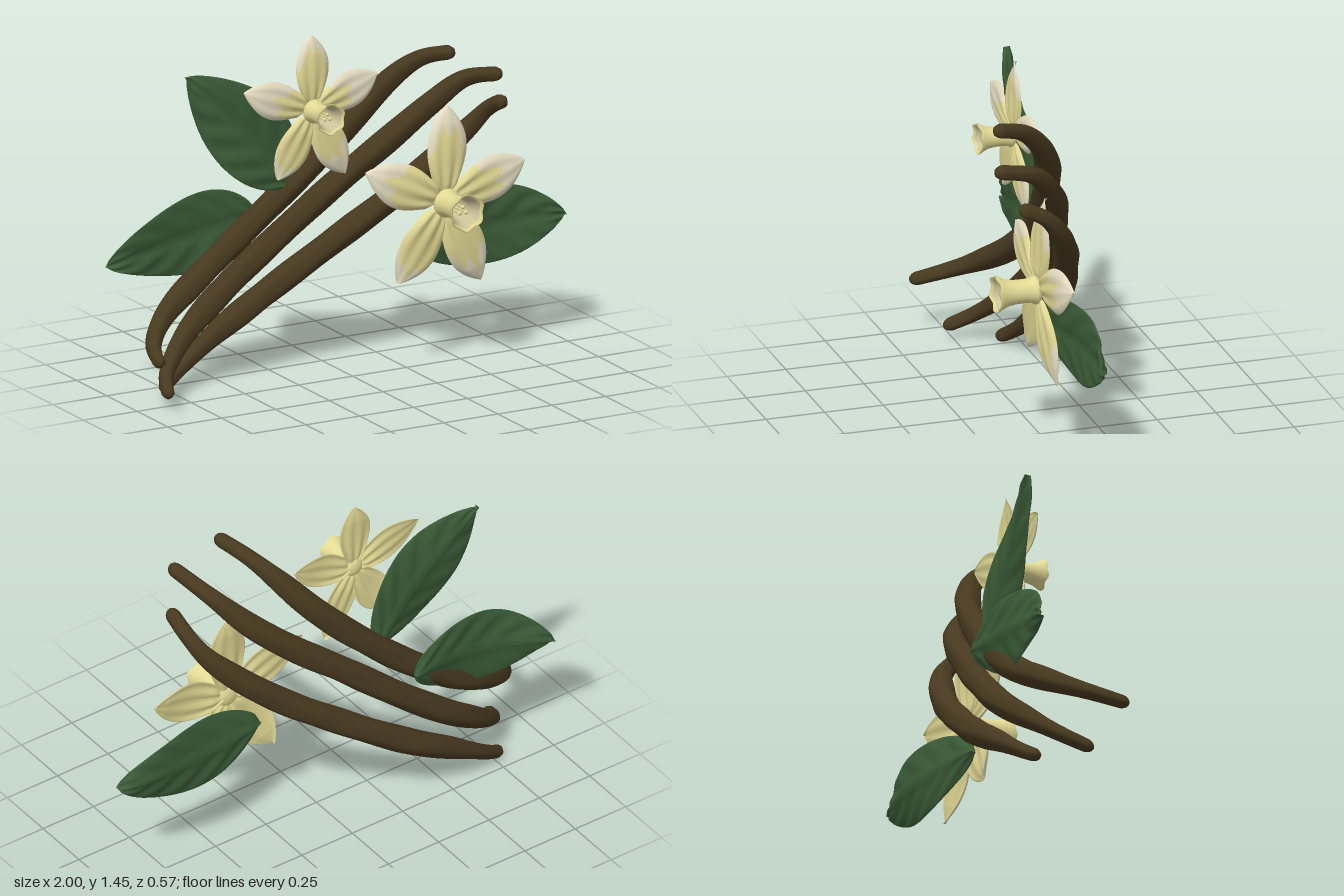
import * as THREE from 'three';

const mat = (name, color) => {
  const m = new THREE.MeshStandardMaterial({ color });
  m.name = name;
  return m;
};
const V = (x, y, z) => new THREE.Vector3(x, y, z);

// Smooth closed skin over n+1 rings of m points; pick(u, angle) chooses the material slot of a face
function loft(n, m, point, pick = () => 0) {
  const pos = [], slots = [[], []];
  for (let i = 0; i <= n; i++) {
    for (let j = 0; j < m; j++) pos.push(...point(i / n, (j / m) * Math.PI * 2).toArray());
  }
  for (let i = 0; i < n; i++) {
    for (let j = 0; j < m; j++) {
      const a = i * m + j, b = i * m + ((j + 1) % m);
      slots[pick((i + 0.5) / n, ((j + 0.5) / m) * Math.PI * 2)].push(a, b, a + m, b, b + m, a + m);
    }
  }
  const g = new THREE.BufferGeometry();
  g.setAttribute('position', new THREE.Float32BufferAttribute(pos, 3));
  g.setIndex([...slots[0], ...slots[1]]);
  g.addGroup(0, slots[0].length, 0);
  g.addGroup(slots[0].length, slots[1].length, 1);
  g.computeVertexNormals();
  return g;
}

// Bean pod: wrinkled tube with tapered, rounded ends
function podGeometry(points) {
  const curve = new THREE.CatmullRomCurve3(points.map((p) => V(...p)), false, 'centripetal');
  const side = V(-0.62, 0.78, 0);
  return loft(90, 24, (t, a) => {
    const u = (1 - Math.cos(t * Math.PI)) / 2;
    const c = curve.getPointAt(u), T = curve.getTangentAt(u);
    const N = side.clone().addScaledVector(T, -side.dot(T)).normalize();
    const B = T.clone().cross(N);
    const body = 0.027 + 0.026 * THREE.MathUtils.smoothstep(u, 0, 0.28)
      - 0.023 * THREE.MathUtils.smoothstep(u, 0.72, 0.99);
    const e = Math.min(1, Math.min(u, 1 - u) / 0.018);
    const cap = Math.max(0.02, Math.sqrt(1 - (1 - e) ** 2));
    const r = body * cap * (1 + 0.04 * Math.cos(5 * a + 9 * u) + 0.025 * Math.sin(40 * u + 2 * a));
    return c.addScaledVector(N, r * Math.cos(a)).addScaledVector(B, r * Math.sin(a));
  });
}

// Leaf or petal: thin lens sections along a bent spine; relief(u, v) pushes both faces in z
function bladeGeometry({ base, mid, tip, width, thick, relief, pick }) {
  const curve = new THREE.QuadraticBezierCurve3(V(...base), V(...mid), V(...tip));
  return loft(40, 40, (u, a) => {
    const c = curve.getPoint(u), T = curve.getTangent(u);
    const s = V(-T.y, T.x, 0).normalize();
    const v = Math.cos(a), w = width(u);
    c.addScaledVector(s, w * v);
    c.z += Math.sin(a) * thick * Math.min(1, w * 16) + relief(u, v);
    return c;
  }, pick);
}

export function createModel() {
  const root = new THREE.Group();
  const podBrown = mat('podBrown', 0x47391f);
  const leafGreen = mat('leafGreen', 0x3b5c38);
  const petalCream = mat('petalCream', 0xe2d994);
  const petalPale = mat('petalPale', 0xe4dcc0);
  const throatCream = mat('throatCream', 0xcbc298);

  const add = (parent, name, geometry, material) => {
    const mesh = new THREE.Mesh(geometry, material);
    mesh.name = name;
    parent.add(mesh);
    return mesh;
  };

  // Three pods curling forward at both ends
  const pods = {
    upperPod: [[-0.977, 0.228, 0.15], [-0.925, 0.275, 0.0], [-0.82, 0.345, -0.1], [-0.6, 0.48, -0.17],
      [-0.35, 0.665, -0.18], [-0.1, 0.89, -0.14], [0.07, 1.07, -0.095], [0.2, 1.235, -0.015], [0.275, 1.325, 0.08], [0.345, 1.378, 0.222]],
    middlePod: [[-0.875, 0.05, 0.038], [-0.825, 0.11, -0.07], [-0.7, 0.22, -0.16], [-0.5, 0.37, -0.205],
      [-0.25, 0.57, -0.19], [0, 0.78, -0.14], [0.2, 0.94, -0.085], [0.36, 1.09, -0.01], [0.465, 1.21, 0.09], [0.53, 1.274, 0.28]],
    lowerPod: [[-0.793, 0.012, -0.167], [-0.71, 0.065, -0.2], [-0.55, 0.17, -0.225], [-0.3, 0.32, -0.225],
      [0, 0.52, -0.175], [0.25, 0.7, -0.11], [0.43, 0.86, -0.05], [0.54, 0.98, 0.01], [0.583, 1.065, 0.08], [0.592, 1.13, 0.197]],
  };
  for (const [name, points] of Object.entries(pods)) add(root, name, podGeometry(points), podBrown);

  // Leaves with a sunken midrib, side veins and a wavy surface
  const leafWidth = (w) => (u) => Math.max(0.001, w * Math.sin(Math.PI * Math.min(1, u) ** 0.82) ** 0.72);
  const leafRelief = (u, v) => {
    const rib = -0.01 * Math.exp(-((v / 0.14) ** 2));
    const veins = 0.006 * Math.sin((u * 5 - Math.abs(v) * 1.3) * Math.PI * 2) * Math.abs(v) * (1 - v * v) * 2;
    return rib + veins + 0.014 * v * Math.sin(u * 7) + 0.008 * v * v;
  };
  const leaves = {
    topLeaf: [[-0.2, 0.81, -0.145], [-0.43, 1.08, -0.1], [-0.68, 1.315, -0.17], 0.172],
    leftLeaf: [[-0.31, 0.665, -0.25], [-0.66, 0.665, -0.165], [-1, 0.54, -0.255], 0.166],
    rightLeaf: [[0.265, 0.52, 0.02], [0.74, 0.55, -0.08], [1, 0.53, -0.025], 0.163],
  };
  for (const [name, [base, mid, tip, w]] of Object.entries(leaves)) {
    add(root, name, bladeGeometry({ base, mid, tip, width: leafWidth(w), thick: 0.012, relief: leafRelief }), leafGreen);
  }

  // Trumpet: closed lathe with a ruffled rim, turned to face +z
  const lathe = (profile) => {
    const g = new THREE.LatheGeometry(profile.map(([x, y]) => new THREE.Vector2(x, y)), 48);
    const p = g.attributes.position;
    for (let i = 0; i < p.count; i++) {
      const a = Math.atan2(p.getX(i), p.getZ(i)), y = p.getY(i);
      const k = THREE.MathUtils.smoothstep(y, 0.13, 0.18);
      const f = 1 + 0.05 * k * Math.cos(6 * a);
      p.setXYZ(i, p.getX(i) * f, y + 0.005 * k * Math.cos(6 * a + 1), p.getZ(i) * f);
    }
    return g.rotateX(Math.PI / 2);
  };

  // Flower: five petals given as [angle in degrees, length, start of the pale wash], trumpet and stamens
  const flower = (name, [x, y, z], s, droop, petals) => {
    const group = new THREE.Group();
    group.name = name;
    group.position.set(x, y, z);
    petals.forEach(([deg, len, wash], k) => {
      const a = THREE.MathUtils.degToRad(deg), d = V(Math.cos(a), Math.sin(a), 0);
      const at = (r, h) => [d.x * r, d.y * r, h];
      const geometry = bladeGeometry({
        base: at(0.02 * s, 0), mid: at(len * 0.55, 0.012 * s), tip: at(len, droop),
        width: (u) => Math.max(0.001, s * (0.086 * Math.sin(Math.PI * u ** 1.15) ** 0.85 + 0.034 * (1 - u) ** 2 * Math.min(1, u * 8))),
        thick: 0.012 * s,
        relief: (u, v) => s * (0.007 * Math.cos(v * 9) * (1 - u) * Math.min(1, u * 5) - 0.006 * v * v + 0.008 * v * Math.sin(u * 5 + k)),
        // Pale wash on the outer front face, reaching further in along the edges
        pick: (u, b) => {
          const v = Math.cos(b);
          return Math.sin(b) > 0 && u + 0.3 * v * v + 0.08 * Math.cos(v * 8 + k) > wash ? 1 : 0;
        },
      });
      add(group, `petal${k + 1}`, geometry, [petalCream, petalPale]);
    });
    const trumpet = add(group, 'trumpet', lathe([[0, -0.017], [0.022, -0.016], [0.04, -0.008], [0.058, 0.006], [0.06, 0.018],
      [0.053, 0.032], [0.049, 0.06], [0.05, 0.1], [0.055, 0.135], [0.067, 0.163], [0.077, 0.18], [0.072, 0.184], [0.064, 0.172]]), petalCream);
    const throat = add(group, 'throat', lathe([[0.064, 0.172], [0.052, 0.145], [0.044, 0.11], [0.04, 0.06], [0, 0.05]]), throatCream);
    trumpet.scale.setScalar(s);
    throat.scale.setScalar(s);
    for (let i = 0; i < 3; i++) {
      const a = Math.PI / 2 + (i * Math.PI * 2) / 3;
      const px = Math.cos(a) * 0.016 * s, py = Math.sin(a) * 0.016 * s;
      const stem = add(group, 'stamen', new THREE.CylinderGeometry(0.004 * s, 0.004 * s, 0.09 * s, 8), petalCream);
      stem.rotation.x = Math.PI / 2;
      stem.position.set(px, py, 0.095 * s);
      const bead = add(group, 'stamenTip', new THREE.SphereGeometry(0.009 * s, 12, 8), petalCream);
      bead.position.set(px, py, 0.142 * s);
    }
    root.add(group);
  };
  flower('upperFlower', [-0.17, 1.14, -0.025], 0.83, -0.008,
    [[90, 0.315, 0.82], [20, 0.325, 0.5], [-62, 0.33, 0.7], [240, 0.315, 0.9], [160, 0.335, 0.5]]);
  flower('lowerFlower', [0.4, 0.69, 0.055], 1, -0.02,
    [[87, 0.4, 0.75], [17.5, 0.4, 0.62], [-64, 0.4, 0.75], [237, 0.38, 0.88], [155, 0.395, 0.7]]);

  return root;
}
